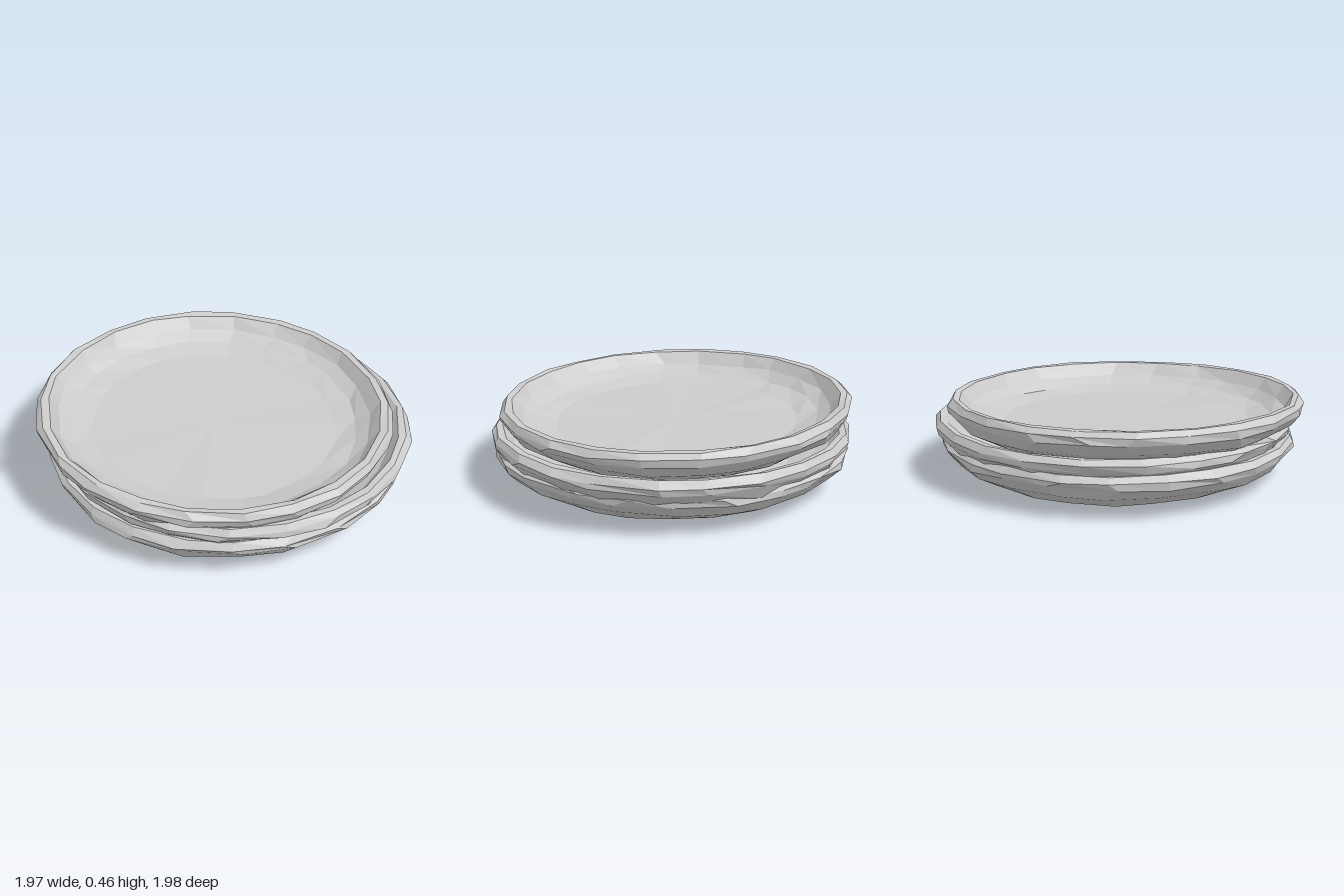
import * as THREE from 'three';

const SIDES = 22;

// Plate cross-section [radius, height, wobble], from the base, round the rim, to the floor
const PROFILE = [
  [0, 0, 0], [0.57, 0.0, 0], [0.76, 0.035, 0.5], [0.89, 0.105, 0.8],
  [0.945, 0.165, 0.7], [0.952, 0.2, 0.6], [0.925, 0.232, 0.4], [0.89, 0.23, 0.4],
  [0.84, 0.165, 0.6], [0.77, 0.125, 0.7], [0.66, 0.1, 0.6], [0, 0.097, 0],
];

function seeded(seed) {
  let s = seed;
  return () => {
    s = (s * 16807) % 2147483647;
    return s / 2147483647 - 0.5;
  };
}

// Lathe a plate, then nudge its rings so it looks roughly hand-shaped
function plateGeometry(seed) {
  const points = PROFILE.map(([r, y]) => new THREE.Vector2(r, y));
  const geometry = new THREE.LatheGeometry(points, SIDES);
  const position = geometry.attributes.position;
  const random = seeded(seed);
  const rows = PROFILE.length;
  const nudges = Array.from({ length: SIDES * rows }, () => [random(), random(), random()]);
  for (let i = 0; i <= SIDES; i++) {
    for (let j = 0; j < rows; j++) {
      const [r, y, wobble] = PROFILE[j];
      const [dr, dy, da] = nudges[(i % SIDES) * rows + j];
      const angle = ((i % SIDES) + da * wobble * 0.6) / SIDES * Math.PI * 2;
      const radius = r + dr * wobble * 0.025;
      position.setXYZ(i * rows + j,
        Math.sin(angle) * radius, y + dy * wobble * 0.02, Math.cos(angle) * radius);
    }
  }
  geometry.computeVertexNormals();
  return geometry;
}

export function createModel() {
  const group = new THREE.Group();
  const material = new THREE.MeshStandardMaterial({ color: 0xcccccc, flatShading: true });

  // Loose stack: each plate shifted, turned and tilted a little
  const plates = [
    { name: 'bottomPlate', at: [0.01, 0, 0], turn: 0, tilt: 0, scale: 1 },
    { name: 'middlePlate', at: [0.035, 0.085, -0.03], turn: 1.9, tilt: 0.004, scale: 1.01 },
    { name: 'topPlate', at: [-0.045, 0.203, 0.035], turn: 4.1, tilt: -0.032, scale: 1 },
  ];
  plates.forEach(({ name, at, turn, tilt, scale }, i) => {
    const plate = new THREE.Mesh(plateGeometry(1237 + i * 7919), material);
    plate.name = name;
    plate.position.set(...at);
    plate.rotation.set(0, turn, tilt, 'ZYX');
    plate.scale.set(scale, 1, scale);
    group.add(plate);
  });
  return group;
}
